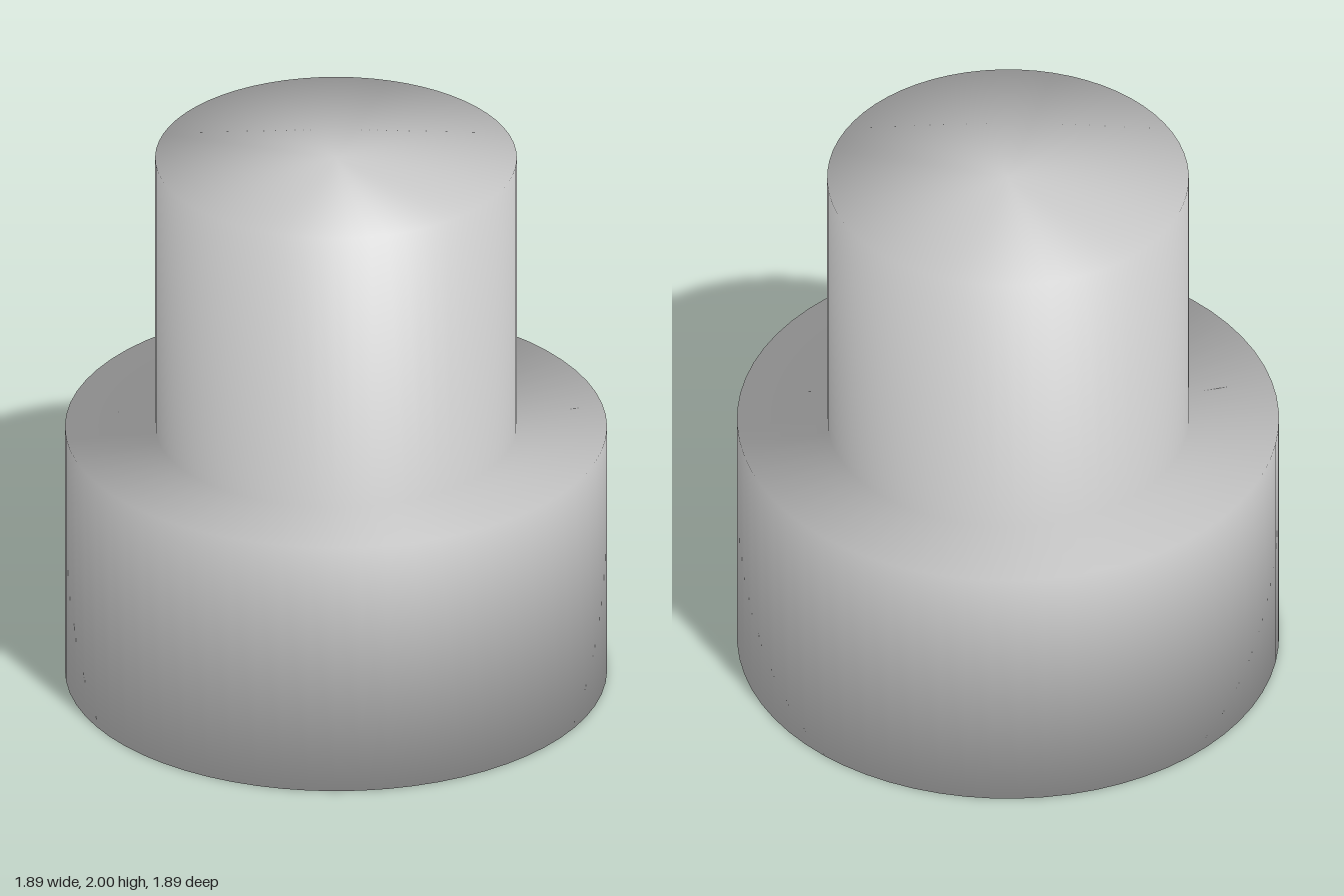
import * as THREE from 'three';

export function createModel() {
  const group = new THREE.Group();
  group.name = 'steppedPeg';

  // Closed profile turned around y: wide base, ledge, narrower column.
  // The lathe's blended normals give the soft shading across the rims.
  const profile = [
    [0, 0],
    [0.947, 0],
    [0.947, 0.95],
    [0.632, 0.95],
    [0.632, 2],
    [0, 2],
  ].map(([r, y]) => new THREE.Vector2(r, y));

  const body = new THREE.Mesh(
    new THREE.LatheGeometry(profile, 64),
    new THREE.MeshStandardMaterial({ color: 0xcccccc })
  );
  body.name = 'steppedBody';
  group.add(body);

  return group;
}
